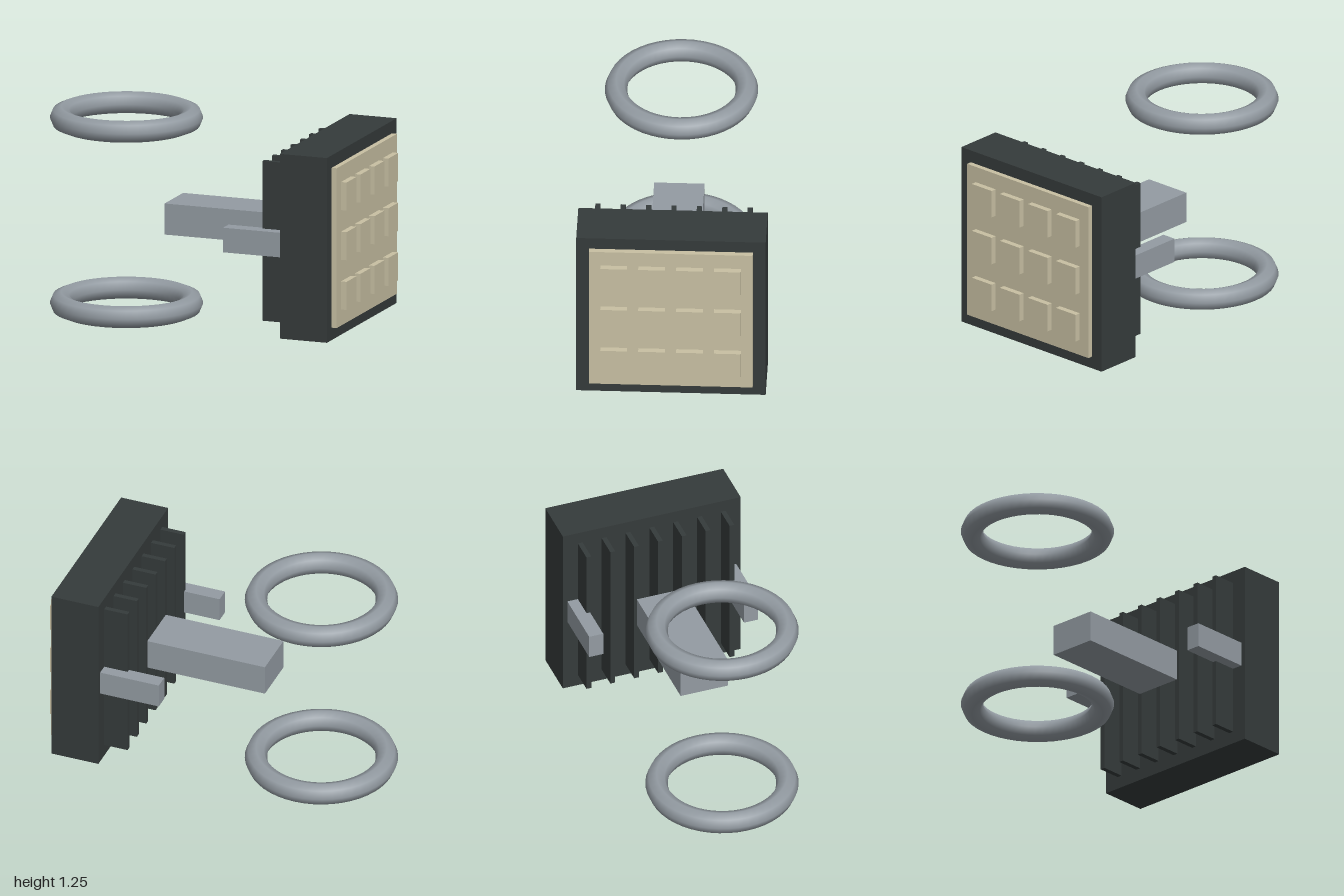
import * as THREE from 'three';

const steel = new THREE.MeshStandardMaterial({ name: 'steel grey', color: 0x939ba2 });
const dark = new THREE.MeshStandardMaterial({ name: 'dark housing', color: 0x353b3b });
const cream = new THREE.MeshStandardMaterial({ name: 'cream', color: 0xc8c0a3 });

const MID = 0.627; // height of the housing centre

export function createModel() {
  const model = new THREE.Group();
  model.name = 'panelLampWithRings';

  // Box from x range, centre and size in y and z
  const box = (name, material, x0, x1, y, h, z, d) => {
    const mesh = new THREE.Mesh(new THREE.BoxGeometry(x1 - x0, h, d), material);
    mesh.position.set((x0 + x1) / 2, y, z);
    mesh.name = name;
    model.add(mesh);
  };

  // Housing and front plate
  box('housing', dark, 0.637, 0.933, MID, 1.112, 0, 1.112);
  box('frontPlate', cream, 0.933, 0.965, MID, 0.962, 0, 0.962);

  // Grid of raised blocks, 3 rows by 4 columns
  for (let row = -1; row <= 1; row++)
    for (let col = -1.5; col <= 1.5; col++)
      box('raisedBlock', cream, 0.965, 1, MID + row * 0.299, 0.169, col * 0.2225, 0.157);

  // Cooling fins behind the housing
  for (let i = -3; i <= 3; i++)
    box('coolingFin', dark, 0.49, 0.637, MID, 0.962, i * 0.149, 0.03);

  // Central arm and side brackets
  box('centralArm', steel, -0.252, 0.49, MID, 0.187, 0, 0.296);
  for (const side of [-1, 1])
    box('sideBracket', steel, 0.267, 0.637, MID, 0.148, side * 0.484, 0.088);

  // Two horizontal rings
  const ringGeometry = new THREE.TorusGeometry(0.384, 0.066, 8, 48).rotateX(Math.PI / 2);
  for (const [name, y] of [['lowerRing', 0.068], ['upperRing', 1.184]]) {
    const ring = new THREE.Mesh(ringGeometry, steel);
    ring.position.set(-0.55, y, 0);
    ring.name = name;
    model.add(ring);
  }
  return model;
}
